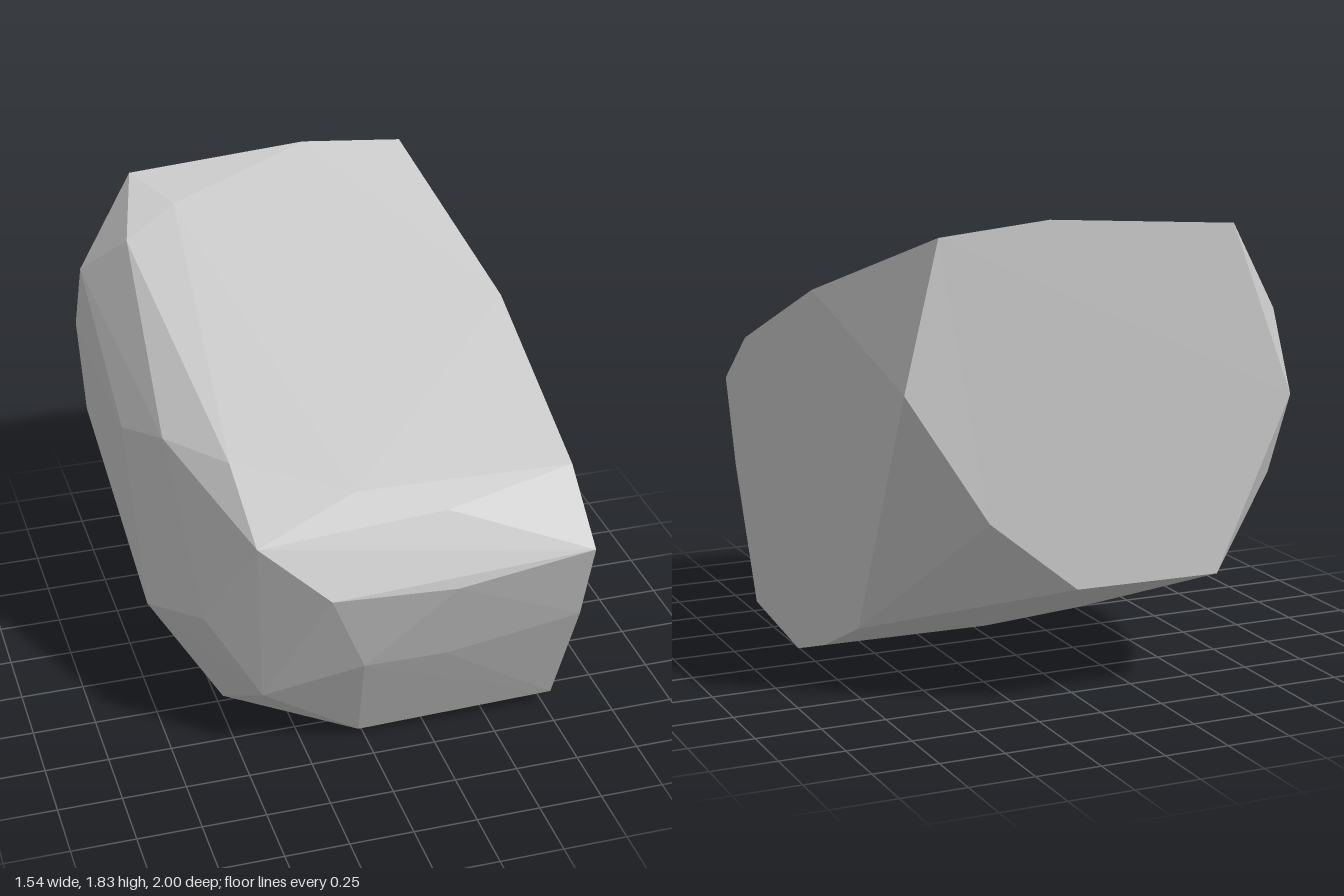
import * as THREE from 'three';
import { ConvexGeometry } from 'three/addons/geometries/ConvexGeometry.js';

// corners on the flat cut back (z = -1), as x, y
const BACK = [[0.64, 1.79], [0.22, 1.83], [-0.515, 1.78], [-0.77, 1.13], [-0.475, 0.475], [0.1, 0.48], [0.447, 0.76], [0.77, 1.25]];

// corners on the flat cut side (x = 0.77), as y, z
const SIDE = [[1.485, -0.08], [1.17, 0.73], [0.955, 1], [0.6, 0.89], [0.07, 0.65], [0.015, 0.14], [0.115, -0.16], [0.285, -0.53]];

// sloping top and its chipped front edge
const TOP = [
  [-0.39, 1.735, -0.75], [-0.61, 1.65, -0.64], [-0.76, 1.435, -0.88], [-0.675, 1.22, 0.2], [-0.49, 1.245, 0.49],
  [-0.07, 1.18, 0.71], [0.25, 1.115, 0.825], [-0.465, 1.04, 0.78], [-0.22, 0.855, 0.92], [0.25, 0.86, 0.97],
];

// rounded front and weathered side
const FLANK = [
  [-0.77, 1.12, -0.1], [-0.77, 0.8, -0.85], [-0.76, 0.49, 0.2], [-0.62, 0.63, 0.57],
  [-0.42, 0.3, 0.66], [-0.07, 0.49, 0.84], [0.25, 0.49, 0.845],
];

// underside
const BASE = [
  [-0.02, 0.02, 0.61], [-0.05, 0, 0.16], [-0.49, 0.06, 0.3], [-0.65, 0.22, -0.14], [-0.6, 0.34, -0.6], [-0.07, 0.305, -0.67],
];

export function createModel() {
  const group = new THREE.Group();
  group.name = 'boulder';

  const stone = new THREE.MeshStandardMaterial({ color: 0xc8c8c8 });
  stone.name = 'light grey stone';

  const corners = [
    ...BACK.map(([x, y]) => [x, y, -1]),
    ...SIDE.map(([y, z]) => [0.77, y, z]),
    ...TOP, ...FLANK, ...BASE,
  ].map((p) => new THREE.Vector3(...p));

  // faceted hull, one flat normal per face
  const rock = new THREE.Mesh(new ConvexGeometry(corners), stone);
  rock.name = 'rock';
  group.add(rock);
  return group;
}
